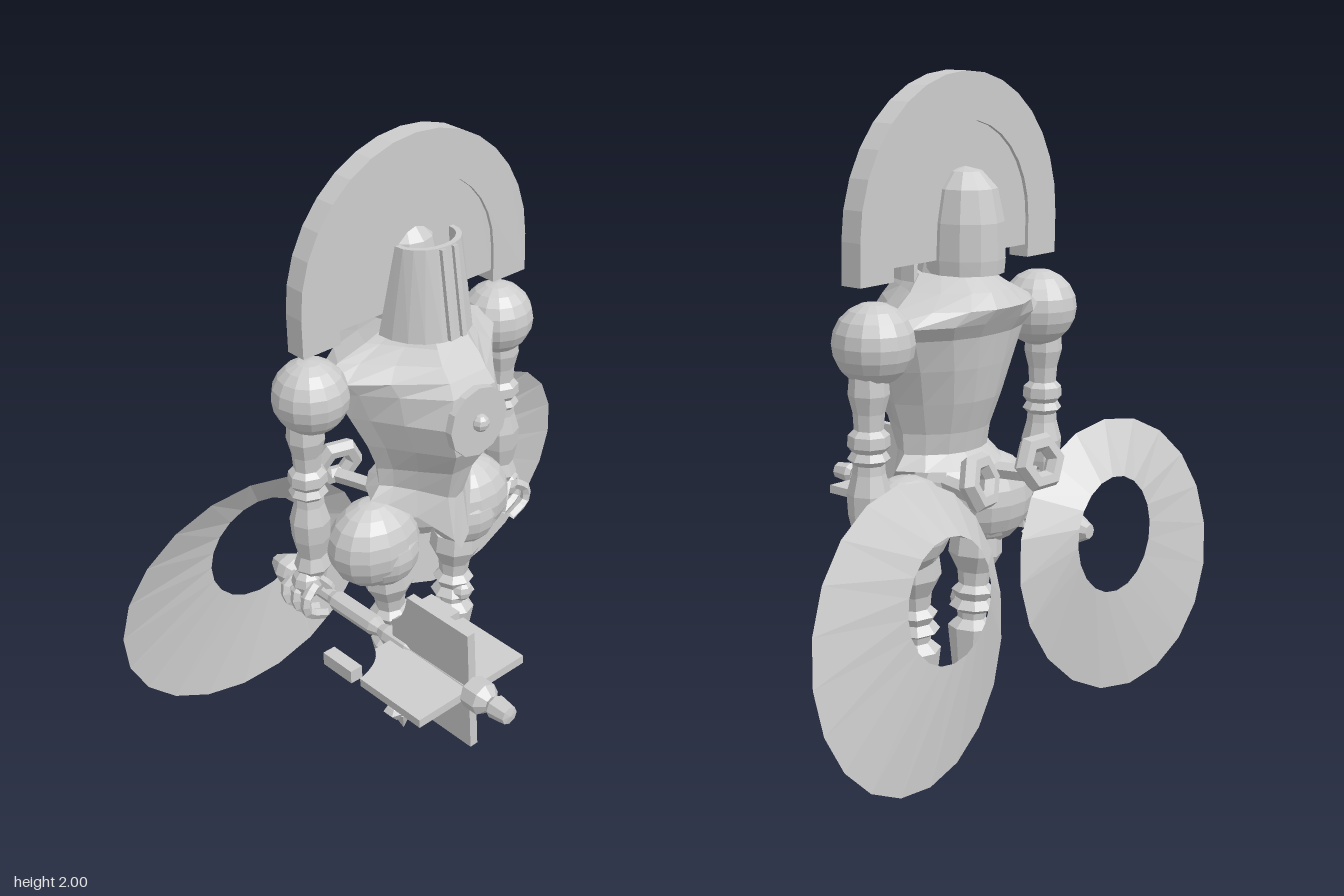
import * as THREE from 'three';

const grey = new THREE.MeshStandardMaterial({ color: 0xcccccc, flatShading: true, side: THREE.DoubleSide });
grey.name = 'stone grey';

function add(parent, name, geometry, x = 0, y = 0, z = 0) {
  const mesh = new THREE.Mesh(geometry, grey);
  mesh.name = name;
  mesh.position.set(x, y, z);
  parent.add(mesh);
  return mesh;
}

// Skin closed rings of [x, y, z] points, with optional end caps
function loft(rings, caps = true) {
  const n = rings[0].length, pos = [], idx = [];
  rings.forEach(r => r.forEach(p => pos.push(...p)));
  for (let i = 0; i < rings.length - 1; i++) {
    for (let k = 0; k < n; k++) {
      const a = i * n + k, b = i * n + (k + 1) % n;
      idx.push(a, a + n, b, b, a + n, b + n);
    }
  }
  if (caps) {
    [0, rings.length - 1].forEach(i => {
      const centre = pos.length / 3;
      pos.push(...[0, 1, 2].map(c => rings[i].reduce((s, p) => s + p[c], 0) / n));
      for (let k = 0; k < n; k++) {
        const a = i * n + k, b = i * n + (k + 1) % n;
        if (i === 0) idx.push(centre, a, b); else idx.push(centre, b, a);
      }
    });
  }
  const g = new THREE.BufferGeometry();
  g.setAttribute('position', new THREE.Float32BufferAttribute(pos, 3));
  g.setIndex(idx);
  g.computeVertexNormals();
  return g;
}

const lathe = (pts, seg = 8) => new THREE.LatheGeometry(pts.map(p => new THREE.Vector2(p[0], p[1])), seg);
const ball = (r, w = 14, h = 10) => new THREE.SphereGeometry(r, w, h);
const tube = (pts, r) => new THREE.TubeGeometry(
  new THREE.CatmullRomCurve3(pts.map(p => new THREE.Vector3(...p))), 7, r, 5);

function extrude(shape, depth) {
  const g = new THREE.ExtrudeGeometry(shape, { depth, bevelEnabled: false, curveSegments: 16 });
  return g.translate(0, 0, -depth / 2);
}

// One horizontal torso section: flat front, drawn-out sides, rounded back
function torsoRing([y, hw, zs, zf, fx, zb, drop = 0]) {
  const half = [
    [0, zf, 1], [fx, zf, 0.75],
    [fx + (hw - fx) * 0.45, zs + (zf - zs) * 0.55, 0.3],
    [fx + (hw - fx) * 0.78, zs + (zf - zs) * 0.2, 0.08],
    [hw, zs, 0],
    [hw * 0.8, zs + (zb - zs) * 0.45, 0],
    [hw * 0.5, zs + (zb - zs) * 0.82, 0],
    [hw * 0.22, zs + (zb - zs) * 0.98, 0], [0, zb, 0],
  ].map(([x, z, d]) => [x, y - d * drop, z]);
  const mirrored = half.slice(1, -1).reverse().map(([x, yy, z]) => [-x, yy, z]);
  return [...half, ...mirrored];
}

function buildTorso(root) {
  add(root, 'torso', loft([
    [1.46, 0.12, -0.21, -0.09, 0.05, -0.34],
    [1.42, 0.18, -0.23, -0.06, 0.06, -0.40],
    [1.38, 0.265, -0.25, -0.03, 0.07, -0.435],
    [1.34, 0.345, -0.24, 0.0, 0.07, -0.41],
    [1.30, 0.30, -0.23, 0.025, 0.08, -0.385],
    [1.21, 0.255, -0.22, 0.033, 0.10, -0.37],
    [1.11, 0.21, -0.20, 0.025, 0.07, -0.35],
    [1.02, 0.175, -0.20, -0.025, 0.04, -0.32],
    [0.96, 0.17, -0.20, -0.055, 0.03, -0.31, 0.05],
    [0.92, 0.205, -0.20, -0.03, 0.03, -0.36, 0.18],
  ].map(torsoRing)));
  add(root, 'pelvis', ball(0.11, 10, 8), 0, 0.83, -0.22);
  // Chest disc and its knob
  add(root, 'chestDisc', new THREE.CylinderGeometry(0.108, 0.108, 0.025, 12).rotateX(Math.PI / 2), 0, 1.21, 0.033);
  add(root, 'chestKnob', ball(0.027, 8, 6), 0, 1.21, 0.05);
}

function buildHead(root) {
  add(root, 'neck', new THREE.CylinderGeometry(0.09, 0.11, 0.08, 10), 0, 1.46, -0.23);
  const dome = add(root, 'helmetDome',
    lathe([[0.105, 1.46], [0.108, 1.5], [0.104, 1.6], [0.085, 1.69], [0.045, 1.735], [0, 1.747]], 12), 0, 0, -0.27);
  dome.scale.z = 1.08;
  // Open, curved face mask with wall thickness
  const rings = [];
  for (let i = 0; i <= 10; i++) {
    const a = (i / 10 - 0.5) * 3.3, s = Math.sin(a), c = Math.cos(a);
    rings.push([
      [0.145 * s, 1.44, -0.2 + 0.155 * c], [0.108 * s, 1.71, -0.17 + 0.09 * c],
      [0.092 * s, 1.71, -0.17 + 0.072 * c], [0.128 * s, 1.44, -0.2 + 0.135 * c],
    ]);
  }
  add(root, 'faceMask', loft(rings));
  for (const s of [-1, 1]) {
    const rib = add(root, 'maskRib', new THREE.BoxGeometry(0.016, 0.265, 0.02), s * 0.022, 1.575, -0.064);
    rib.rotation.x = -0.13;
  }
}

// Arched crest: thick rim around a thinner panel
function buildCrest(root) {
  const arc = (r, n, y) => {
    const pts = [[-r, y]];
    for (let i = 0; i <= n; i++) {
      const a = Math.PI * (1 - i / n);
      pts.push([r * Math.cos(a), 1.58 + r * Math.sin(a)]);
    }
    return [...pts, [r, y]].map(p => new THREE.Vector2(...p));
  };
  const rim = new THREE.Shape([...arc(0.42, 16, 1.465), ...arc(0.29, 16, 1.465).reverse()]);
  add(root, 'crestRim', extrude(rim, 0.066), 0, 0, -0.235);
  add(root, 'crestPanel', extrude(new THREE.Shape(arc(0.292, 16, 1.5)), 0.045), 0, 0, -0.235);
}

function buildArm(root, s) {
  add(root, 'shoulder', ball(0.112), s * 0.36, 1.31, -0.258);
  add(root, 'arm', lathe([
    [0, 0.69], [0.035, 0.69], [0.042, 0.73], [0.055, 0.75], [0.042, 0.79], [0.056, 0.85], [0.06, 0.91],
    [0.045, 0.965], [0.043, 0.99], [0.058, 1.005], [0.046, 1.025], [0.058, 1.04], [0.056, 1.07],
    [0.04, 1.085], [0.043, 1.13], [0.056, 1.18], [0.05, 1.25],
  ]), s * 0.383, 0, -0.262);
  // Curled, claw-like hand
  add(root, 'palm', ball(0.05, 8, 6), s * 0.405, 0.7, -0.26);
  for (const dz of [-0.04, 0, 0.04]) {
    add(root, 'finger', tube([
      [s * 0.41, 0.71, -0.26 + dz], [s * 0.45, 0.68, -0.26 + dz * 1.2],
      [s * 0.45, 0.635, -0.255 + dz * 1.1], [s * 0.385, 0.6, -0.25 + dz],
    ], 0.017));
  }
  add(root, 'thumb', tube([[s * 0.39, 0.72, -0.23], [s * 0.36, 0.68, -0.215], [s * 0.355, 0.63, -0.22]], 0.015));
}

function buildLeg(root, s) {
  add(root, 'hipShell', ball(0.15), s * 0.185, 0.765, -0.215).scale.set(1.02, 0.93, 0.8);
  add(root, 'thighBall', ball(0.115), s * 0.165, 0.735, -0.205);
  const leg = new THREE.Group();
  leg.name = 'leg';
  leg.position.set(s * 0.1, 0, -0.21);
  leg.rotation.z = -s * 0.065;
  root.add(leg);
  add(leg, 'lowerLeg', lathe([
    [0.018, 0.06], [0.022, 0.11], [0.05, 0.25], [0.064, 0.34], [0.07, 0.38], [0.042, 0.405], [0.045, 0.425],
    [0.07, 0.44], [0.05, 0.465], [0.065, 0.49], [0.045, 0.51], [0.05, 0.55], [0.08, 0.605], [0.075, 0.66],
  ]));
  add(leg, 'kneeCap', ball(0.036, 8, 6), 0, 0.455, 0.04);
  // Pointed foot with a flared cuff and heel spur
  add(leg, 'footCuff', lathe([[0.03, 0.05], [0.06, 0.085], [0.045, 0.1], [0.02, 0.115]], 6)).scale.z = 0.7;
  add(leg, 'footPoint', new THREE.ConeGeometry(0.03, 0.07, 5).rotateX(Math.PI), 0, 0.036, 0.01);
  add(leg, 'heelSpur', new THREE.ConeGeometry(0.02, 0.1, 4), 0, 0.12, -0.028).rotation.x = -0.15;
}

// Shallow dished ring hung behind the hip on a hexagonal nut
function buildWing(root, s) {
  const outer = [], inner = [];
  for (let i = 0; i <= 20; i++) {
    const a = i / 20 * Math.PI * 2;
    const x = 0.465 + 0.42 * Math.cos(a), y = 0.58 + 0.4 * Math.sin(a);
    outer.push([s * x, y, -0.49 + 0.15 * (y - 0.58) - 0.1 * (x - 0.46)]);
    const u = 0.375 + 0.175 * Math.cos(a), v = 0.67 + 0.17 * Math.sin(a);
    inner.push([s * u, v, -0.54 + 0.08 * (v - 0.67) - 0.03 * (u - 0.37)]);
  }
  add(root, 'wingDisc', loft([outer, inner], false));
  const nut = add(root, 'wingNut', new THREE.TorusGeometry(0.06, 0.028, 6, 6), s * 0.135, 0.92, -0.44);
  nut.rotation.set(0.25, s * 0.2, 0);
  add(root, 'wingBracket', tube([[s * 0.1, 0.88, -0.3], [s * 0.12, 0.88, -0.37], [s * 0.14, 0.88, -0.43]], 0.025));
}

// Finned mace held level in the right hand
function buildMace(root) {
  const mace = new THREE.Group();
  mace.name = 'mace';
  mace.position.set(-0.37, 0.66, 0);
  root.add(mace);
  add(mace, 'shaft', lathe([
    [0, -0.455], [0.022, -0.455], [0.05, -0.4], [0.046, -0.37], [0.022, -0.33], [0.022, -0.19], [0.03, -0.17],
    [0.03, 0], [0.02, 0.03], [0.03, 0.06], [0.03, 0.15], [0.02, 0.17], [0.022, 0.39], [0.048, 0.41],
    [0.048, 0.46], [0.022, 0.485], [0.034, 0.5], [0.027, 0.555], [0, 0.56],
  ], 8).rotateX(Math.PI / 2));
  const fin = new THREE.Shape();
  fin.moveTo(0.41, 0.01);
  fin.lineTo(0.41, 0.195);
  fin.lineTo(0.165, 0.195);
  fin.quadraticCurveTo(0.15, 0.11, 0.095, 0.08);
  fin.lineTo(0.095, 0.01);
  for (let i = 0; i < 4; i++) {
    add(mace, 'fin', extrude(fin, 0.026).rotateY(-Math.PI / 2)).rotation.z = i * Math.PI / 2 + 0.03;
  }
  for (const s of [-1, 1]) {
    add(mace, 'prong', new THREE.BoxGeometry(0.04, 0.04, 0.12), s * 0.185, 0, 0.078);
  }
}

export function createModel() {
  const root = new THREE.Group();
  root.name = 'armouredFigure';
  buildTorso(root);
  buildHead(root);
  buildCrest(root);
  for (const s of [-1, 1]) {
    buildArm(root, s);
    buildLeg(root, s);
    buildWing(root, s);
  }
  buildMace(root);
  return root;
}
